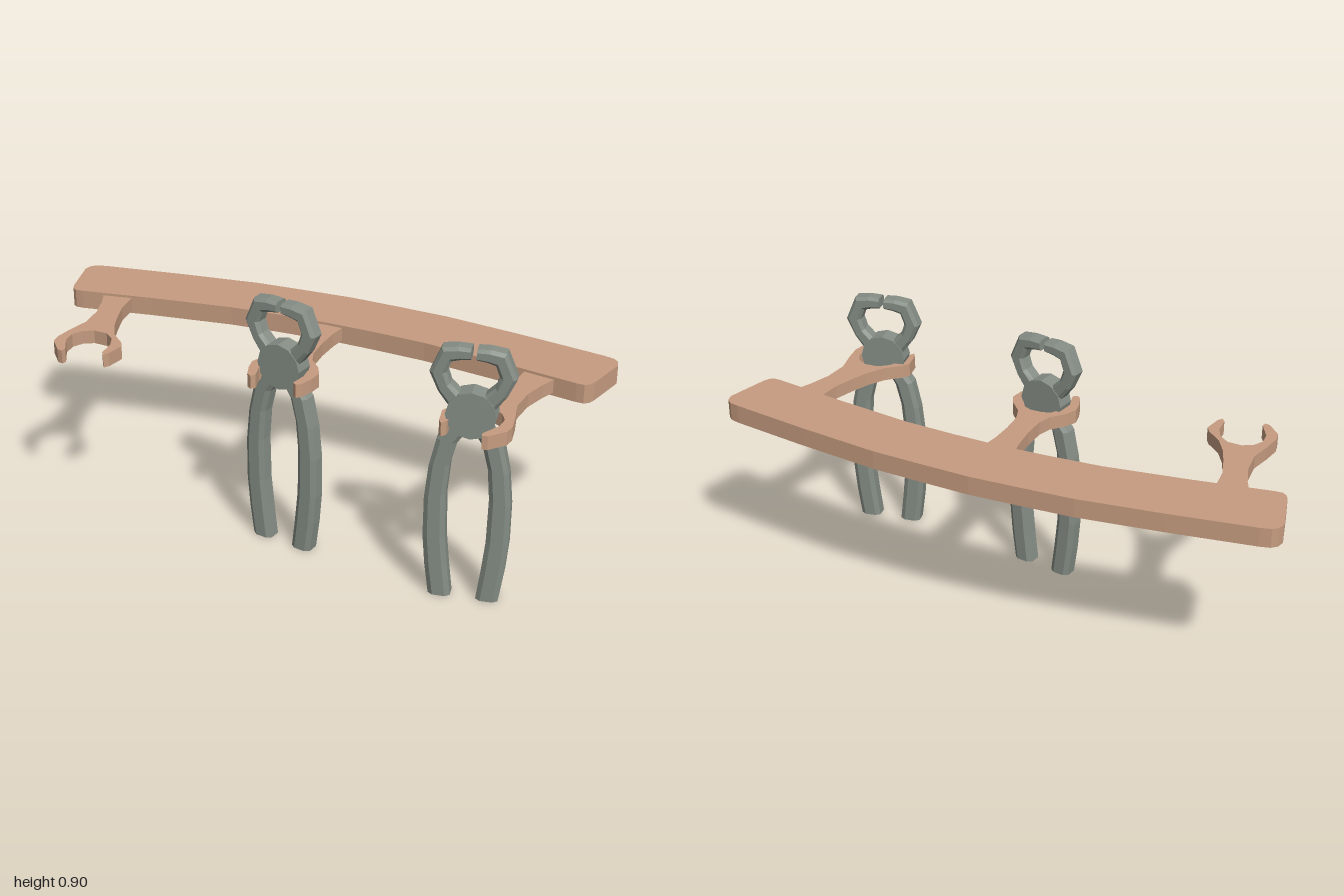
import * as THREE from 'three';

const wood = new THREE.MeshStandardMaterial({ color: 0xc69c80 });
wood.name = 'tan wood';
const steel = new THREE.MeshStandardMaterial({ color: 0x858d85 });
steel.name = 'grey steel';

// Flat plate from an [x, z] outline between two heights
function plate(name, points, bottom, top) {
  const shape = new THREE.Shape(points.map(([x, z]) => new THREE.Vector2(x, -z)));
  const geometry = new THREE.ExtrudeGeometry(shape, { depth: top - bottom, bevelEnabled: false });
  geometry.rotateX(-Math.PI / 2);
  geometry.translate(0, bottom, 0);
  const mesh = new THREE.Mesh(geometry, wood);
  mesh.name = name;
  return mesh;
}

const mirrorX = (points) => points.map(([x, z]) => [-x, z]);
const symmetric = (half) => [...half, ...mirrorX(half).reverse()];

// Chamfered bar through stations [outerX, outerY, innerX, innerY], flat faceted
function bar(name, stations, side, halfDepth) {
  const section = [
    [0, -0.62], [0, 0.62], [0.22, 1], [0.78, 1],
    [1, 0.62], [1, -0.62], [0.78, -1], [0.22, -1],
  ];
  const rings = stations.map(([ox, oy, ix, iy]) => section.map(([t, d]) =>
    [side * (ox + (ix - ox) * t), oy + (iy - oy) * t, d * halfDepth]));
  const positions = [];
  const tri = (a, b, c) => {
    if (side > 0) positions.push(...a, ...b, ...c);
    else positions.push(...a, ...c, ...b);
  };
  const n = section.length;
  for (let i = 0; i < rings.length - 1; i++) {
    for (let j = 0; j < n; j++) {
      const k = (j + 1) % n;
      const a = rings[i][j], b = rings[i][k], c = rings[i + 1][k], d = rings[i + 1][j];
      tri(a, c, b);
      tri(a, d, c);
    }
  }
  // End caps
  const first = rings[0], last = rings[rings.length - 1];
  for (let j = 1; j < n - 1; j++) {
    tri(first[0], first[j], first[j + 1]);
    tri(last[0], last[j + 1], last[j]);
  }
  const geometry = new THREE.BufferGeometry();
  geometry.setAttribute('position', new THREE.Float32BufferAttribute(positions, 3));
  geometry.computeVertexNormals();
  const mesh = new THREE.Mesh(geometry, steel);
  mesh.name = name;
  return mesh;
}

function pincers(name, x, z, turn) {
  const group = new THREE.Group();
  group.name = name;
  // Stations run from bottom to top on the +x side
  const handle = [
    [0.115, 0, 0.042, 0], [0.13, 0.11, 0.055, 0.11], [0.139, 0.22, 0.066, 0.22],
    [0.139, 0.36, 0.069, 0.38], [0.127, 0.48, 0.06, 0.49],
    [0.105, 0.58, 0.04, 0.57], [0.06, 0.64, 0.015, 0.61],
  ];
  const jaw = [
    [0.07, 0.695, 0.03, 0.735], [0.107, 0.745, 0.07, 0.775],
    [0.136, 0.81, 0.082, 0.812], [0.1, 0.895, 0.068, 0.85],
    [0.05, 0.902, 0.04, 0.858], [0.009, 0.9, 0.009, 0.862],
  ];
  for (const side of [-1, 1]) {
    const label = side > 0 ? 'left' : 'right';
    group.add(bar(label + 'Handle', handle, side, 0.031));
    group.add(bar(label + 'Jaw', jaw, side, 0.03));
  }
  // Pivot disc joining the two arms
  const disc = new THREE.CylinderGeometry(0.081, 0.081, 0.066, 12).toNonIndexed();
  disc.rotateX(Math.PI / 2);
  disc.computeVertexNormals();
  const pivot = new THREE.Mesh(disc, steel);
  pivot.name = 'pivotDisc';
  pivot.position.y = 0.675;
  group.add(pivot);
  group.position.set(x, 0, z);
  group.rotation.y = turn;
  return group;
}

export function createModel() {
  const model = new THREE.Group();
  model.name = 'toolRack';

  // Curved board with rounded corners
  const boardHalf = [
    [0, -0.386], [0.18, -0.379], [0.36, -0.37], [0.65, -0.332], [0.94, -0.287],
    [0.975, -0.278], [0.993, -0.262], [1, -0.235], [0.962, -0.085],
    [0.952, -0.065], [0.937, -0.055], [0.91, -0.056], [0.65, -0.1],
    [0.36, -0.141], [0.18, -0.152], [0, -0.158],
  ];
  model.add(plate('board', symmetric(boardHalf), 0.6, 0.667));

  // Middle hook
  const middleHalf = [
    [0.062, -0.2], [0.045, -0.1], [0.04, -0.02], [0.043, 0.06], [0.06, 0.11],
    [0.1, 0.155], [0.12, 0.195], [0.112, 0.24], [0.096, 0.285], [0.08, 0.296],
    [0.067, 0.285], [0.08, 0.23], [0.076, 0.185], [0.05, 0.145], [0.022, 0.133],
  ];
  model.add(plate('middleHook', symmetric(middleHalf), 0.61, 0.658));

  // Outer hooks, leaning towards the middle
  const outerHook = [
    [0.845, -0.1], [0.81, -0.02], [0.785, 0.06], [0.777, 0.15], [0.795, 0.225],
    [0.806, 0.29], [0.8, 0.325], [0.755, 0.376], [0.737, 0.38], [0.733, 0.363],
    [0.767, 0.3], [0.77, 0.255], [0.75, 0.22], [0.715, 0.2], [0.665, 0.203],
    [0.63, 0.23], [0.61, 0.275], [0.607, 0.335], [0.595, 0.352], [0.583, 0.335],
    [0.57, 0.27], [0.585, 0.245], [0.635, 0.2], [0.67, 0.14], [0.695, 0.075],
    [0.718, 0], [0.73, -0.12],
  ];
  model.add(plate('leftHook', outerHook, 0.61, 0.658));
  model.add(plate('rightHook', mirrorX(outerHook), 0.61, 0.658));

  // Two hanging pincers
  model.add(pincers('middlePincers', -0.003, 0.203, -0.17));
  model.add(pincers('leftPincers', 0.67, 0.275, 0.17));
  return model;
}
